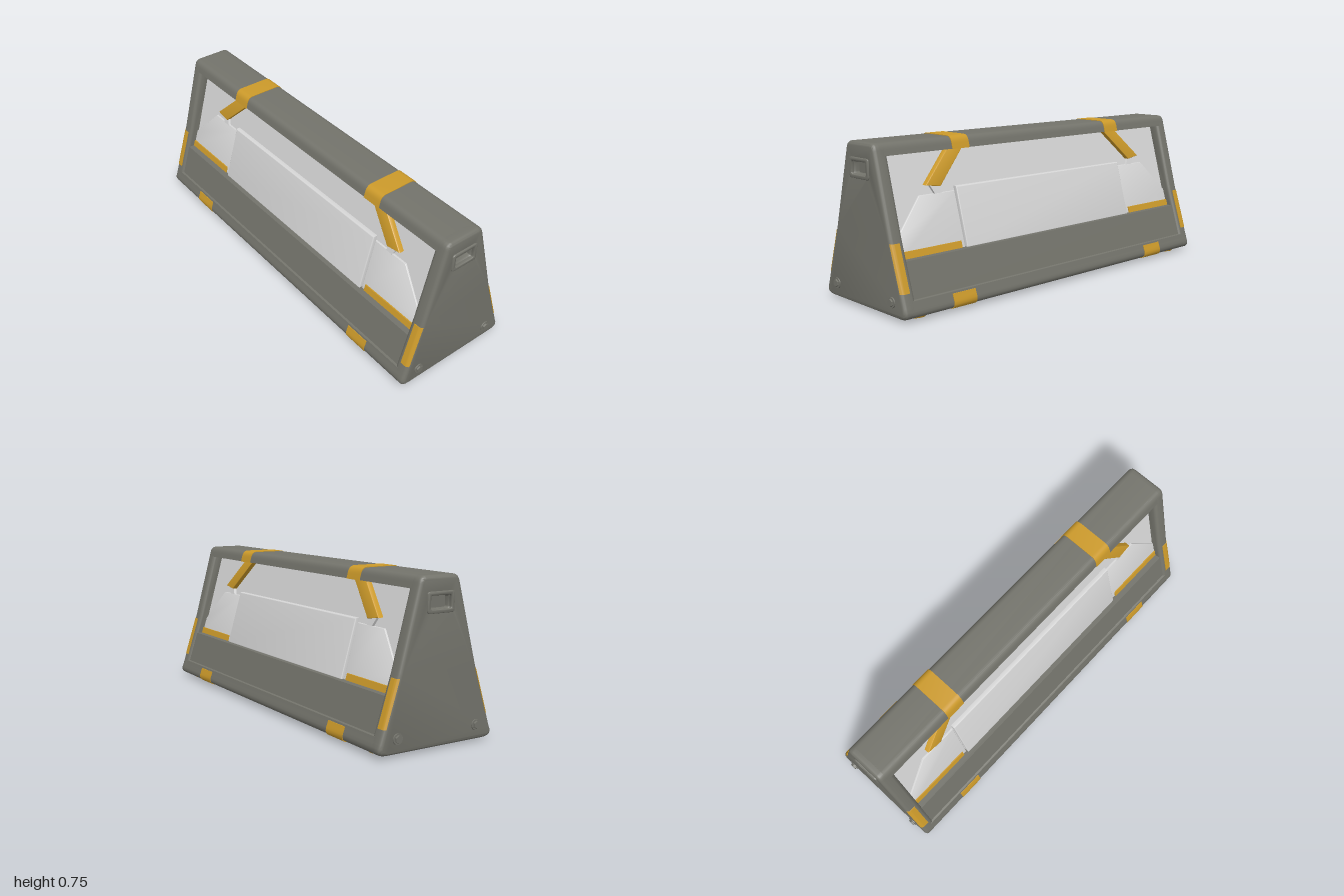
import * as THREE from 'three';
import { toCreasedNormals } from 'three/addons/utils/BufferGeometryUtils.js';

const grey = new THREE.MeshStandardMaterial({ color: 0x73736b });
grey.name = 'body grey';
const light = new THREE.MeshStandardMaterial({ color: 0xd6d6d6 });
light.name = 'panel light grey';
const yellow = new THREE.MeshStandardMaterial({ color: 0xcc9a2a });
yellow.name = 'marking yellow';

const v2 = (x, y) => new THREE.Vector2(x, y);

// Half width of the tapered body at height y
const halfWidth = (y) => (y < 0.35 ? 0.207 + (0.35 - y) * 0.32 : 0.207 - (y - 0.35) * 0.27);

const curve = (a, b, c, n = 6) => new THREE.QuadraticBezierCurve(v2(...a), v2(...b), v2(...c)).getPoints(n);
const bottomCorner = (g = 0) => curve([0.262, 0.012 - g], [0.325 + g, 0.012 - g], [halfWidth(0.065) + g, 0.065]);
const topCorner = (g = 0) => curve(
  [halfWidth(0.715) + g, 0.715], [halfWidth(0.745) + g, 0.745 + g], [halfWidth(0.745) - 0.025, 0.745 + g]);

// Closed symmetric shape from the points of its right half, listed bottom to top
function symmetric(right) {
  const left = right.map((p) => v2(-p.x, p.y)).reverse();
  return new THREE.Shape([...right, ...left]);
}

function mesh(name, geometry, material, parent) {
  const m = new THREE.Mesh(toCreasedNormals(geometry, 0.6), material);
  m.name = name;
  parent.add(m);
  return m;
}

// Extrusion along z from z0 to z1, with its rounding kept inside the outline
function extrudeZ(shape, z0, z1, bevel = 0) {
  const g = new THREE.ExtrudeGeometry(shape, {
    depth: z1 - z0 - 2 * bevel, bevelEnabled: bevel > 0, bevelThickness: bevel,
    bevelSize: bevel, bevelOffset: -bevel, bevelSegments: 4, curveSegments: 8,
  });
  return g.translate(0, 0, z0 + bevel);
}

// Shift each vertex outward so that x is measured from the sloping side
function shear(g) {
  const p = g.attributes.position;
  for (let i = 0; i < p.count; i++) p.setX(i, p.getX(i) + halfWidth(p.getY(i)));
  g.computeVertexNormals();
  return g;
}

// Plate lying on the slope: outline in [z, y], outer face set back by recess
function slopePlate(outline, recess, thick, bevel = 0) {
  const shape = new THREE.Shape(outline.map(([z, y]) => v2(-z, y)));
  const g = extrudeZ(shape, 0, thick, bevel);
  g.rotateY(Math.PI / 2).translate(-recess - thick, 0, 0);
  return shear(g);
}

function roundedRect(path, w, h, r) {
  path.moveTo(-w + r, -h);
  path.lineTo(w - r, -h).quadraticCurveTo(w, -h, w, -h + r);
  path.lineTo(w, h - r).quadraticCurveTo(w, h, w - r, h);
  path.lineTo(-w + r, h).quadraticCurveTo(-w, h, -w, h - r);
  path.lineTo(-w, -h + r).quadraticCurveTo(-w, -h, -w + r, -h);
  return path;
}

// One sloping side: light panels, lower panel markings and braces
function buildSide() {
  const side = new THREE.Group();
  side.name = 'side';
  mesh('backPanel', slopePlate([[-0.93, 0.245], [0.93, 0.245], [0.93, 0.695], [-0.93, 0.695]], 0.055, 0.008), light, side);
  mesh('centrePanel', slopePlate([[-0.56, 0.248], [0.56, 0.248], [0.56, 0.52], [-0.56, 0.52]], 0.032, 0.026, 0.005), light, side);

  for (const s of [1, -1]) {
    const at = (pts) => pts.map(([z, y]) => [z * s, y]);
    mesh('endPanel', slopePlate(at([[0.565, 0.248], [0.925, 0.248], [0.925, 0.33], [0.765, 0.5], [0.565, 0.5]]), 0.044, 0.014, 0.003), light, side);
    mesh('ledgeStrip', slopePlate(at([[0.585, 0.25], [0.92, 0.25], [0.92, 0.28], [0.585, 0.28]]), 0.038, 0.009), yellow, side);
    mesh('brace', slopePlate(at([[0.65, 0.53], [0.73, 0.542], [0.575, 0.692], [0.485, 0.692]]), 0.027, 0.03, 0.004), yellow, side);
    mesh('braceFoot', slopePlate(at([[0.64, 0.5], [0.68, 0.5], [0.70, 0.537], [0.66, 0.537]]), 0.04, 0.018), light, side);

    // Marking wrapped round the upright's outer edge
    const arc = (r) => Array.from({ length: 6 }, (_, i) => {
      const a = i * Math.PI / 10 * 0.75;
      return v2(-0.018 + r * Math.cos(a), -s * (0.967 + r * Math.sin(a)));
    });
    const wrap = new THREE.Shape([v2(0.003, -s * 0.942), ...arc(0.021), ...arc(0.014).reverse(), v2(-0.005, -s * 0.942)]);
    const g = extrudeZ(wrap, 0.125, 0.33).rotateX(-Math.PI / 2);
    mesh('uprightMarking', shear(g), yellow, side);

    // Marking wrapped round the lower edge
    const outer = [v2(0.25, 0.009), ...bottomCorner(0.003), v2(halfWidth(0.082) + 0.003, 0.082)];
    const inner = [v2(0.25, 0.02), v2(0.28, 0.03), v2(halfWidth(0.082) - 0.008, 0.082)];
    const edge = new THREE.Shape([...outer, ...inner.reverse()]);
    mesh('baseMarking', extrudeZ(edge, s * 0.6575 - 0.065, s * 0.6575 + 0.065), yellow, side);
  }
  return side;
}

// One end: rounded end wall, handle pocket and bolts
function buildEnd() {
  const end = new THREE.Group();
  end.name = 'end';
  const wall = symmetric([...bottomCorner(), v2(halfWidth(0.35), 0.35), ...topCorner()]);
  const pocket = roundedRect(new THREE.Path(), 0.05, 0.026, 0.008).getPoints(4).map((p) => v2(p.x, p.y + 0.632));
  wall.holes.push(new THREE.Path(pocket));
  mesh('endWall', extrudeZ(wall, 0.918, 0.987, 0.018), grey, end);

  const rim = roundedRect(new THREE.Shape(), 0.072, 0.046, 0.014);
  rim.holes.push(roundedRect(new THREE.Path(), 0.054, 0.029, 0.008));
  mesh('handleRim', extrudeZ(rim, 0.972, 0.994, 0.004).translate(0, 0.632, 0), grey, end);

  for (const x of [-0.212, 0.212]) {
    const washer = new THREE.CylinderGeometry(0.024, 0.026, 0.012, 20).rotateX(Math.PI / 2);
    mesh('boltWasher', washer.translate(x, 0.08, 0.986), grey, end);
    const head = new THREE.CylinderGeometry(0.017, 0.019, 0.014, 6).rotateX(Math.PI / 2);
    mesh('boltHead', head.translate(x, 0.08, 0.993), grey, end);
  }
  return end;
}

export function createModel() {
  const model = new THREE.Group();
  model.name = 'barrier';

  // Core with base rails, lower panels, set-back sides and top rail
  const core = symmetric([
    ...bottomCorner(), v2(halfWidth(0.09), 0.09), v2(halfWidth(0.093) - 0.009, 0.093),
    v2(halfWidth(0.25) - 0.009, 0.25), v2(halfWidth(0.25) - 0.06, 0.25),
    v2(halfWidth(0.35) - 0.06, 0.35), v2(halfWidth(0.69) - 0.06, 0.69),
    v2(halfWidth(0.69), 0.69), ...topCorner(),
  ]);
  mesh('core', extrudeZ(core, -0.955, 0.955), grey, model);

  // Two sides and two ends, each pair related by a half turn
  for (const turn of [0, Math.PI]) {
    const side = buildSide();
    const end = buildEnd();
    side.rotation.y = end.rotation.y = turn;
    model.add(side, end);
  }

  // Bands over the top rail, and feet
  const band = symmetric([v2(halfWidth(0.69) + 0.003, 0.689), ...topCorner(0.003)]);
  for (const s of [1, -1]) {
    mesh('topBand', extrudeZ(band, s * 0.518 - 0.05, s * 0.518 + 0.05), yellow, model);
    for (const x of [-0.22, 0.22]) {
      const foot = new THREE.CylinderGeometry(0.052, 0.044, 0.016, 24);
      mesh('foot', foot.translate(x, 0.008, s * 0.87), yellow, model);
    }
  }
  return model;
}
